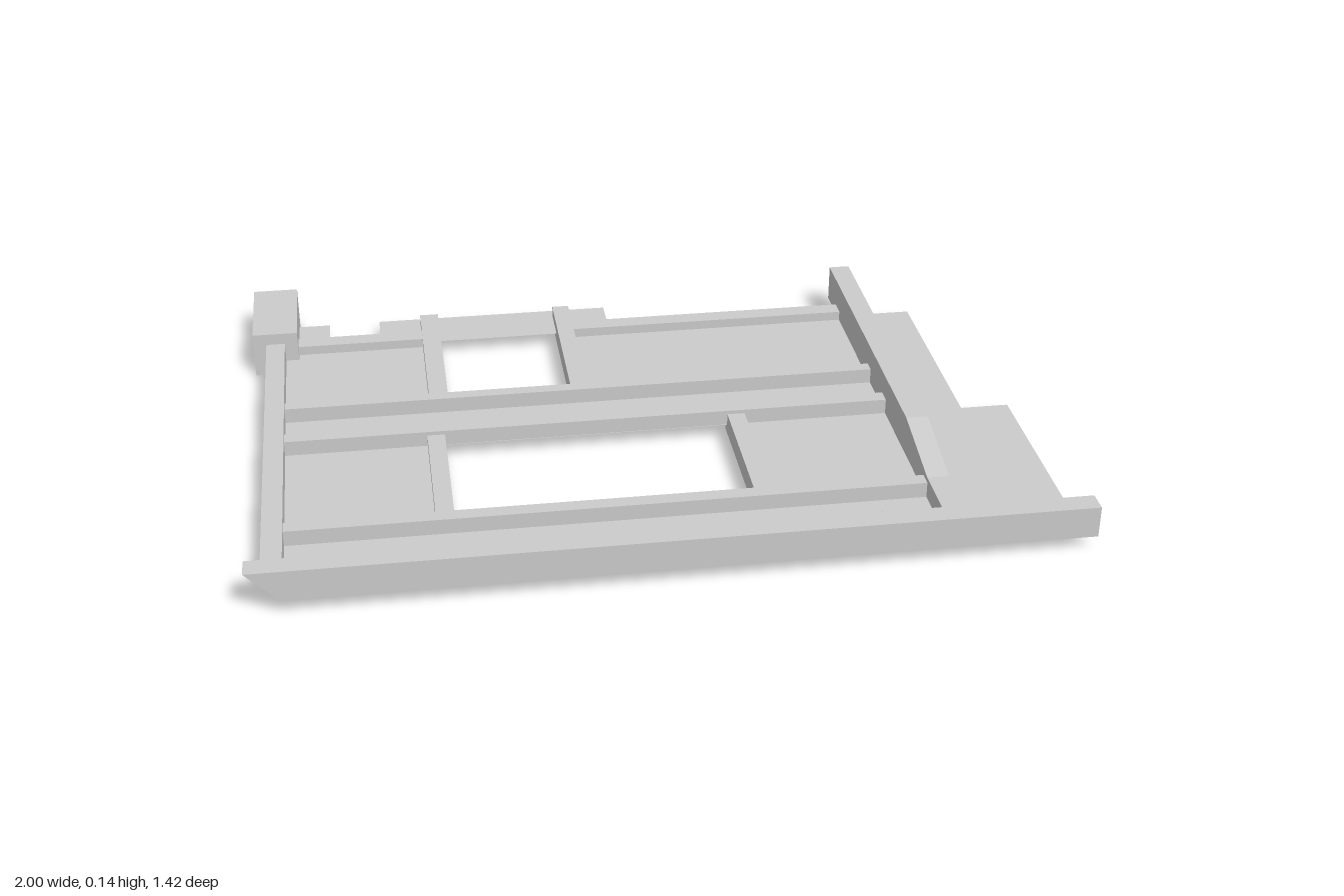
import * as THREE from 'three';

const material = new THREE.MeshStandardMaterial({
  color: 0xcccccc, flatShading: true, side: THREE.DoubleSide,
});
const FLOOR = 0.04;

// Sheet metal skin joining a row of cross-sections, each a list of [x, y, z]
function sheet(sections) {
  const n = sections[0].length;
  const index = [];
  for (let i = 0; i < sections.length - 1; i++) {
    for (let j = 0; j < n - 1; j++) {
      const a = i * n + j, b = a + n;
      index.push(a, b, a + 1, a + 1, b, b + 1);
    }
  }
  const g = new THREE.BufferGeometry();
  g.setAttribute('position', new THREE.Float32BufferAttribute(sections.flat(2), 3));
  g.setIndex(index);
  const flat = g.toNonIndexed();
  flat.computeVertexNormals();
  return flat;
}

// Open-bottomed channel along z; stations are [z, top height]
const channelZ = (x0, x1, bottom, stations) => sheet(stations.map(([z, top]) =>
  [[x0, bottom, z], [x0, top, z], [x1, top, z], [x1, bottom, z]]));

// Open-bottomed channel along x
const channelX = (x0, x1, z0, z1, bottom, top) => sheet([x0, x1].map((x) =>
  [[x, bottom, z0], [x, top, z0], [x, top, z1], [x, bottom, z1]]));

// Flat horizontal panel from [x, z] corners, with rectangular holes [x0, x1, z0, z1]
function panel(corners, y, holes = []) {
  const toPoints = (list) => list.map(([x, z]) => new THREE.Vector2(x, -z));
  const shape = new THREE.Shape(toPoints(corners));
  for (const [x0, x1, z0, z1] of holes) {
    shape.holes.push(new THREE.Path(toPoints([[x0, z0], [x1, z0], [x1, z1], [x0, z1]])));
  }
  return new THREE.ShapeGeometry(shape).rotateX(-Math.PI / 2).translate(0, y, 0);
}

export function createModel() {
  const model = new THREE.Group();
  const add = (name, geometry) => {
    const mesh = new THREE.Mesh(geometry, material);
    mesh.name = name;
    model.add(mesh);
  };

  // Floor with stepped outline and two openings
  add('floorPanel', panel([
    [-0.965, 0.64], [0.97, 0.64], [0.97, 0.07], [0.845, 0.07], [0.845, -0.495],
    [0.695, -0.495], [0.695, -0.52], [-0.795, -0.52], [-0.795, -0.64], [-0.965, -0.64],
  ], FLOOR, [[-0.555, 0.265, 0.07, 0.45], [-0.54, -0.12, -0.5, -0.133]]));

  // Rear plate bridging the two rear rails
  add('rearPlate', panel([[-0.655, -0.64], [-0.015, -0.64], [-0.015, -0.5], [-0.655, -0.5]], FLOOR + 0.001));

  // Front beam, with its right end mitred at 45 degrees
  const profile = [[0.037, 0.64], [0.09, 0.64], [0.118, 0.655], [0.118, 0.71], [0.037, 0.71]];
  add('frontBeam', sheet([
    profile.map(([y, z]) => [-1 + (0.118 - y), y, z]),
    profile.map(([y, z]) => [1, y, z]),
  ]));

  // Side beams: the left one rises towards the rear
  add('leftSideBeam', channelZ(0.64, 0.695, FLOOR,
    [[0.703, 0.092], [0.48, 0.092], [0.265, 0.138], [-0.612, 0.138]]));
  add('rightSideBeam', channelZ(-0.965, -0.915, FLOOR, [[0.64, 0.092], [-0.445, 0.092]]));

  // Cross members across the floor
  for (const [name, z0, z1] of [
    ['frontCrossMember', 0.447, 0.485],
    ['middleFrontCrossMember', 0.028, 0.068],
    ['middleRearCrossMember', -0.133, -0.1],
  ]) add(name, channelX(-0.915, 0.64, z0, z1, FLOOR, 0.08));

  // Rear cross member, interrupted by the opening
  for (const [x0, x1] of [[-0.88, -0.54], [-0.12, 0.705]]) {
    add('rearCrossMember', channelX(x0, x1, -0.52, -0.472, FLOOR, 0.065));
  }

  // Rails beside the openings, reaching below the floor
  for (const [name, x0, x1, z0, z1] of [
    ['frontRail', -0.555, -0.51, 0.045, 0.475],
    ['frontRail', 0.22, 0.265, 0.045, 0.475],
    ['rearRail', -0.54, -0.49, -0.608, -0.105],
    ['rearRail', -0.165, -0.12, -0.608, -0.105],
  ]) add(name, channelZ(x0, x1, 0.015, [[z1, 0.07], [z0, 0.07]]));

  // Corner block at the rear right
  add('cornerBlock', new THREE.BoxGeometry(0.12, 0.123, 0.27).translate(-0.94, 0.0615, -0.58));

  return model;
}
